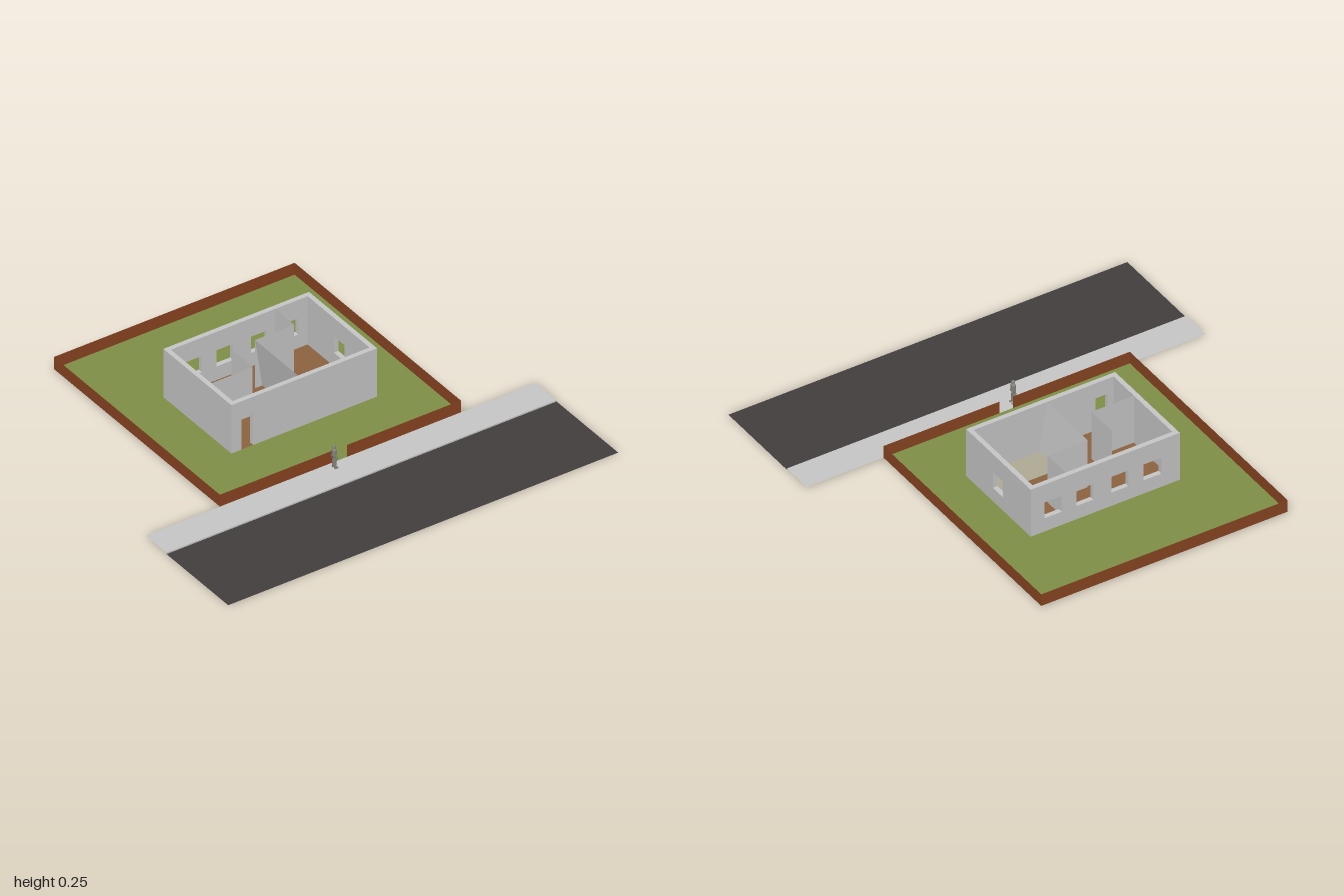
import * as THREE from 'three';

const mat = (name, color, side = THREE.DoubleSide) => {
  const m = new THREE.MeshStandardMaterial({ color, side });
  m.name = name;
  return m;
};

export function createModel() {
  const model = new THREE.Group();
  const M = {
    plaster: mat('plaster grey', 0xc8c8c8),
    brick: mat('brick brown', 0x8a4522),
    grass: mat('grass green', 0x7f9046),
    asphalt: mat('asphalt', 0x433f3e),
    wood: mat('wood floor', 0x8e6340),
    tile: mat('tile floor', 0xb1ac96),
    figure: mat('figure grey', 0x85857c),
  };
  const G = 0.007, TOP = 0.255; // ground level, top of house walls

  const add = (name, geo, material, parent = model) => {
    const m = new THREE.Mesh(geo, material);
    m.name = name;
    parent.add(m);
    return m;
  };
  // flat rectangle on the ground
  const ground = (name, x0, x1, z0, z1, y, material) => {
    const g = new THREE.PlaneGeometry(x1 - x0, z1 - z0).rotateX(-Math.PI / 2);
    g.translate((x0 + x1) / 2, y, (z0 + z1) / 2);
    return add(name, g, material);
  };
  // thin upright sheet from a to b; lean moves its foot along x
  const sheet = (name, a, b, y0, y1, material, lean = 0) => {
    const g = new THREE.BufferGeometry();
    g.setAttribute('position', new THREE.Float32BufferAttribute([
      a[0] + lean, y0, a[1], b[0] + lean, y0, b[1], b[0], y1, b[1], a[0], y1, a[1]], 3));
    g.setIndex([0, 1, 2, 0, 2, 3]);
    g.computeVertexNormals();
    return add(name, g, material);
  };
  const rect = (P, x0, x1, y0, y1) => {
    const p = new P();
    p.moveTo(x0, y0); p.lineTo(x1, y0); p.lineTo(x1, y1); p.lineTo(x0, y1); p.closePath();
    return p;
  };

  // Street: road, curb and raised pavement
  ground('road', -1, 1, 0.465, 0.925, 0, M.asphalt);
  sheet('curb', [-1, 0.465], [1, 0.465], 0, G, M.plaster);
  ground('pavement', -1, 1, 0.31, 0.465, G, M.plaster);

  // House footprint and wall thickness
  const X0 = -0.357, X1 = 0.39, Z0 = -0.495, Z1 = 0.013, T = 0.023;

  // Lawn with an opening for the house
  const lawn = rect(THREE.Shape, -0.62, 0.615, -0.31, 0.93);
  lawn.holes.push(rect(THREE.Path, X0, X1, -Z1, -Z0));
  add('lawn', new THREE.ShapeGeometry(lawn).rotateX(-Math.PI / 2).translate(0, G, 0), M.grass);

  // Garden wall with a gap for the entrance
  const fence = [
    [[-0.035, 0.31], [-0.62, 0.31]], [[-0.62, 0.31], [-0.62, -0.93]],
    [[-0.62, -0.93], [0.615, -0.93]], [[0.615, -0.93], [0.615, 0.31]],
    [[0.615, 0.31], [0.032, 0.31]],
  ];
  for (const [a, b] of fence) sheet('gardenWall', b, a, G, 0.068, M.brick);

  // Floors
  ground('woodFloorBack', X0 + T, X1 - T, Z0 + T, -0.158, G, M.wood);
  ground('woodFloorFront', X0 + T, 0.02, -0.158, Z1 - T, G, M.wood);
  ground('doorSill', -0.305, -0.245, Z1 - T, Z1, G, M.wood);
  ground('tileFloor', 0.02, X1 - T, -0.158, Z1 - T, G, M.tile);

  // Outer walls, drawn flat and extruded by the wall thickness
  const wall = (name, shape, windows) => {
    for (const [a, b] of windows) shape.holes.push(rect(THREE.Path, a, b, 0.077, 0.16));
    return add(name, new THREE.ExtrudeGeometry(shape, { depth: T, bevelEnabled: false }), M.plaster);
  };
  const front = new THREE.Shape([
    [X0, G], [-0.305, G], [-0.305, 0.175], [-0.245, 0.175], [-0.245, G],
    [X1, G], [X1, TOP], [X0, TOP]].map(p => new THREE.Vector2(...p)));
  wall('frontWall', front, []).position.z = Z1 - T;
  wall('backWall', rect(THREE.Shape, X0, X1, G, TOP),
    [[0.235, 0.32], [0.077, 0.162], [-0.1, -0.015], [-0.265, -0.175]]).position.z = Z0;
  const sideWall = (name, x, windows) => {
    const w = wall(name, rect(THREE.Shape, -Z1 + T, -Z0 - T, G, TOP), windows);
    w.rotation.y = Math.PI / 2;
    w.position.x = x;
  };
  sideWall('leftWall', X1 - T, [[0.197, 0.275]]);
  sideWall('rightWall', X0, []);

  // Thin partitions between the rooms
  sheet('partition', [X0 + T, -0.17], [-0.122, -0.17], G, TOP, M.plaster);
  sheet('partition', [-0.122, -0.17], [-0.122, -0.33], G, TOP, M.plaster);
  sheet('partition', [0, -0.33], [0.2, -0.33], G, TOP, M.plaster);
  sheet('partition', [0.2, -0.33], [0.2, Z0 + T], G, TOP, M.plaster);
  sheet('leaningPartition', [0, Z1 - T], [0, -0.33], G, TOP, M.plaster, 0.037);

  // Person standing on the pavement, turned sideways
  const person = new THREE.Group();
  person.name = 'person';
  person.position.set(-0.058, G, 0.345);
  model.add(person);
  const limb = (name, r, len, y, z, tilt = 0) => {
    const m = add(name, new THREE.CapsuleGeometry(r, len, 3, 8), M.figure, person);
    m.position.set(0, y, z);
    m.rotation.x = tilt;
    return m;
  };
  add('head', new THREE.SphereGeometry(0.0085, 10, 8), M.figure, person).position.y = 0.107;
  limb('torso', 0.0105, 0.024, 0.076, 0).scale.z = 1.15;
  for (const s of [-1, 1]) {
    limb('leg', 0.0052, 0.046, 0.03, s * 0.007, -s * 0.06);
    limb('arm', 0.0038, 0.036, 0.07, s * 0.0155, -s * 0.1);
    add('shoe', new THREE.BoxGeometry(0.017, 0.005, 0.008), M.figure, person)
      .position.set(0.004, 0.0025, s * 0.009);
  }
  return model;
}
